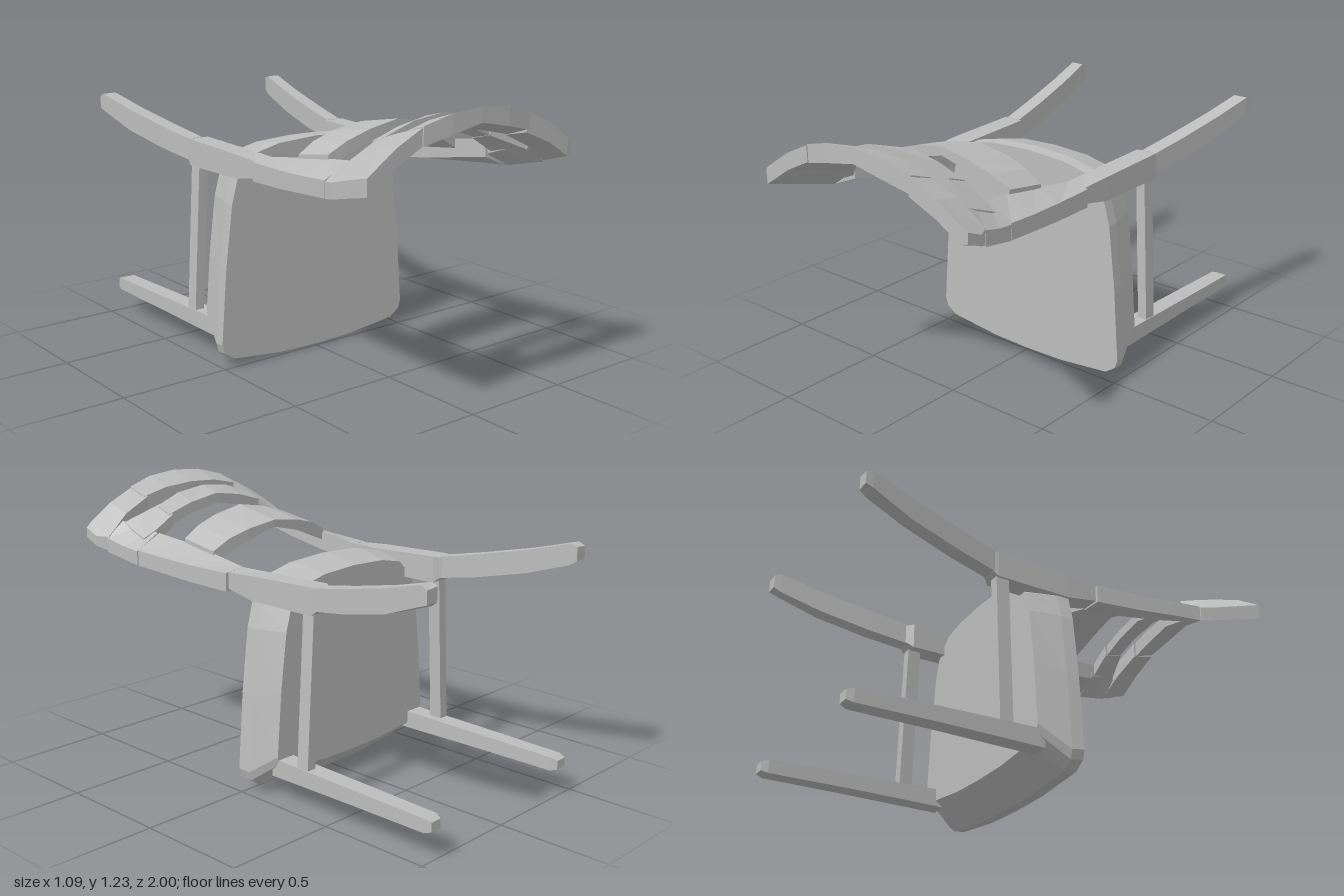
import * as THREE from 'three';

const grey = new THREE.MeshStandardMaterial({ color: 0xbcbcbc, flatShading: true });
grey.name = 'grey';

// Closed solid through a row of rings of [x, y, z] points; sx = -1 mirrors it
function loft(name, rings, sx = 1) {
  const tris = [];
  const n = rings[0].length;
  for (let i = 0; i < rings.length - 1; i++) {
    for (let j = 0; j < n; j++) {
      const k = (j + 1) % n, a = rings[i], b = rings[i + 1];
      tris.push([a[j], a[k], b[k]], [a[j], b[k], b[j]]);
    }
  }
  const last = rings[rings.length - 1];
  for (let j = 1; j < n - 1; j++) {
    tris.push([rings[0][0], rings[0][j + 1], rings[0][j]], [last[0], last[j], last[j + 1]]);
  }
  // Turn the faces outwards, whichever way the rings run
  let volume = 0;
  const pts = tris.map(t => t.map(p => new THREE.Vector3(p[0] * sx, p[1], p[2])));
  const mid = pts[0][0];
  for (const [a, b, c] of pts) {
    volume += a.clone().sub(mid).dot(b.clone().sub(mid).cross(c.clone().sub(mid)));
  }
  const flat = pts.flatMap(([a, b, c]) => (volume < 0 ? [a, c, b] : [a, b, c]));
  const geo = new THREE.BufferGeometry().setFromPoints(flat);
  geo.computeVertexNormals();
  const mesh = new THREE.Mesh(geo, grey);
  mesh.name = name;
  return mesh;
}

// Four-sided ring at depth z: inner and outer edge, each with top and bottom height
const bar = (z, xi, ti, bi, xo, to, bo) =>
  [[xi, ti, z], [xo, to, z], [xo, bo, z], [xi, bi, z]];

// Ring across a back rail at x: front edge z and heights, back edge z and heights
const slat = (x, zf, tf, bf, zb, tb, bb) =>
  [[x, tf, zf], [x, tb, zb], [x, bb, zb], [x, bf, zf]];

// Full symmetrical rail from the rings of its left half (first ring at the centre)
function rail(name, half) {
  const mirrored = half.slice(1).reverse().map(r => r.map(([x, y, z]) => [-x, y, z]));
  return loft(name, [...mirrored, ...half]);
}

export function createModel() {
  const chair = new THREE.Group();
  chair.name = 'chair';

  // Seat: rounded trapezoid, narrowing toward the underside
  const outline = [[0, 0.98], [0.2, 0.97], [0.33, 0.94], [0.42, 0.84], [0.45, 0.73], [0.485, 0.45],
    [0.512, 0.11], [0.5, 0.07], [0.45, 0.035], [0.2, 0.008], [0, 0.003]];
  const loop = [...outline, ...outline.slice(1, -1).reverse().map(([x, y]) => [-x, y])];
  const seatRing = (z, sx, top, bottom) =>
    loop.map(([x, y]) => [x * sx, bottom + (top - bottom) * y / 0.98, z]);
  chair.add(loft('seat', [
    seatRing(0, 1, 0.975, 0.008), seatRing(-0.055, 0.99, 0.98, 0),
    seatRing(-0.19, 0.91, 0.95, 0.11),
  ]));

  for (const s of [1, -1]) {
    const side = new THREE.Group();
    side.name = s > 0 ? 'leftSide' : 'rightSide';

    // Rear leg, bowed away from the seat
    side.add(loft('rearLeg', [
      bar(-0.365, 0.355, 0.955, 0.86, 0.425, 0.955, 0.86),
      bar(-0.55, 0.38, 0.99, 0.89, 0.452, 0.99, 0.89),
      bar(-0.78, 0.415, 1.04, 0.94, 0.483, 1.04, 0.94),
      bar(-0.97, 0.445, 1.09, 1.0, 0.51, 1.09, 1.01),
      bar(-1, 0.452, 1.08, 1.02, 0.51, 1.075, 1.02),
    ], s));

    // Block joining leg, seat and back post
    side.add(loft('seatJoint', [
      bar(-0.385, 0.36, 0.95, 0.87, 0.42, 0.95, 0.87),
      bar(-0.35, 0.335, 0.957, 0.84, 0.43, 0.957, 0.84),
      bar(0, 0.33, 0.945, 0.84, 0.43, 0.945, 0.84),
      bar(0.15, 0.342, 0.945, 0.868, 0.425, 0.935, 0.868),
    ], s));

    // Back post, twisting as it rises to the crest
    side.add(loft('backPost', [
      bar(0.14, 0.34, 0.945, 0.86, 0.44, 0.935, 0.855),
      bar(0.35, 0.335, 0.975, 0.89, 0.46, 0.94, 0.865),
      bar(0.53, 0.34, 1.0, 0.92, 0.478, 0.95, 0.88),
      bar(0.67, 0.365, 1.02, 0.94, 0.488, 0.96, 0.89),
    ], s));

    // Front leg, straight and slim
    side.add(loft('frontLeg', [
      bar(-0.15, 0.375, 0.19, 0.11, 0.46, 0.19, 0.11),
      bar(-0.6, 0.38, 0.182, 0.115, 0.46, 0.182, 0.115),
      bar(-0.97, 0.385, 0.175, 0.115, 0.458, 0.175, 0.115),
      bar(-1, 0.395, 0.165, 0.125, 0.45, 0.165, 0.125),
    ], s));

    // Stretcher between front and rear leg
    const square = (x, y) => [[x - 0.022, y, -0.295], [x + 0.022, y, -0.295],
      [x + 0.022, y, -0.355], [x - 0.022, y, -0.355]];
    side.add(loft('stretcher', [square(0.435, 0.17), square(0.395, 0.87)], s));
    chair.add(side);
  }

  // Right back shoulder: one solid curved panel
  const panel = (z, pts, t) => [
    ...pts.map(([x, y]) => [x, y, z]),
    ...pts.slice().reverse().map(([x, y]) => [x, y - t, z])];
  chair.add(loft('rightShoulder', [
    panel(0.675, [[0.37, 1.02], [0.43, 0.995], [0.49, 0.955]], 0.065),
    panel(0.73, [[0.285, 1.1], [0.4, 1.045], [0.502, 0.965]], 0.065),
    panel(0.86, [[0.285, 1.145], [0.4, 1.09], [0.522, 1.0]], 0.068),
    panel(0.98, [[0.285, 1.18], [0.41, 1.12], [0.545, 1.03]], 0.07),
  ], -1));

  // Left back shoulder: post end, crest end and middle rail end with a slit between
  chair.add(loft('leftShoulder', [
    bar(0.675, 0.37, 1.02, 0.955, 0.49, 0.955, 0.89),
    bar(0.76, 0.385, 1.045, 0.985, 0.505, 0.97, 0.91),
    bar(0.85, 0.43, 1.06, 1.0, 0.52, 0.995, 0.93),
  ]));
  chair.add(loft('leftCrestEnd', [
    slat(0.265, 0.98, 1.185, 1.1, 0.87, 1.15, 1.075),
    slat(0.4, 0.98, 1.125, 1.045, 0.86, 1.09, 1.015),
    slat(0.515, 0.977, 1.05, 0.975, 0.845, 1.0, 0.935),
    slat(0.545, 0.97, 1.03, 0.985, 0.9, 1.0, 0.955),
  ]));
  chair.add(loft('leftMiddleRailEnd', [
    slat(0.265, 0.785, 1.125, 1.06, 0.69, 1.09, 1.035),
    slat(0.36, 0.815, 1.085, 1.02, 0.69, 1.035, 0.975),
    slat(0.43, 0.84, 1.055, 0.99, 0.7, 1.0, 0.94),
  ]));

  // Crest, middle and lower rails of the back
  chair.add(rail('crestRail', [
    slat(0, 1, 1.232, 1.17, 0.87, 1.19, 1.13),
    slat(0.15, 0.995, 1.22, 1.14, 0.875, 1.18, 1.105),
    slat(0.28, 0.98, 1.185, 1.108, 0.88, 1.15, 1.075),
  ]));
  chair.add(rail('middleRail', [
    slat(0, 0.79, 1.182, 1.13, 0.692, 1.155, 1.11),
    slat(0.15, 0.788, 1.165, 1.105, 0.696, 1.13, 1.08),
    slat(0.28, 0.78, 1.12, 1.055, 0.7, 1.09, 1.035),
  ]));
  chair.add(rail('lowerRail', [
    slat(0, 0.53, 1.122, 1.083, 0.3, 1.08, 1.048),
    slat(0.15, 0.53, 1.095, 1.045, 0.305, 1.06, 1.01),
    slat(0.26, 0.525, 1.06, 1.005, 0.315, 1.03, 0.97),
    slat(0.345, 0.515, 1.015, 0.955, 0.325, 0.985, 0.93),
  ]));

  return chair;
}
